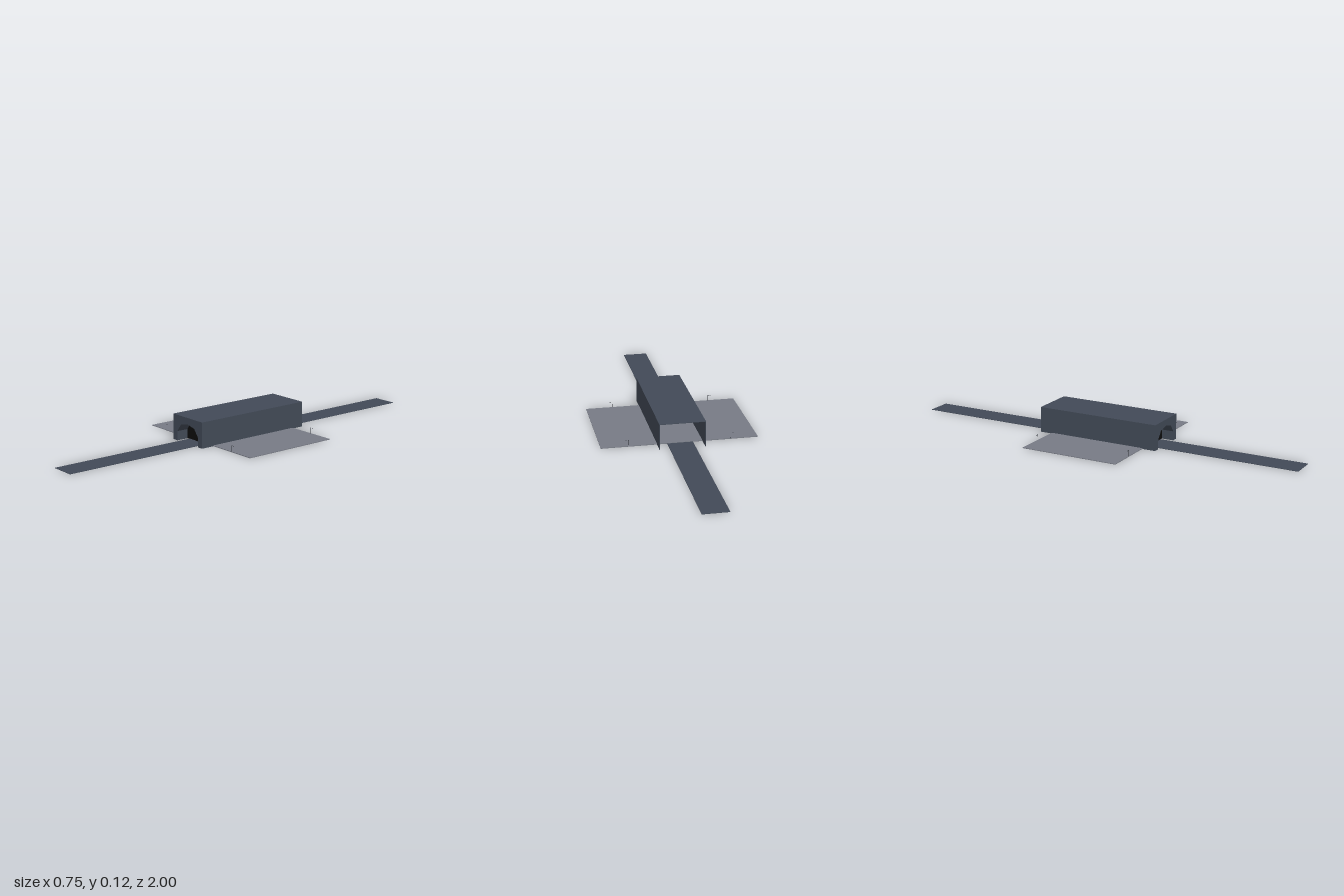
import * as THREE from 'three';

export function createModel() {
  const group = new THREE.Group();
  const material = (name, color, side = THREE.FrontSide) => {
    const m = new THREE.MeshStandardMaterial({ color, side });
    m.name = name;
    return m;
  };
  const slate = material('slate concrete', 0x424a57);
  const paving = material('grey paving', 0x777b85);
  const black = material('tunnel black', 0x0d0d0d, THREE.DoubleSide);
  const metal = material('lamp metal', 0x33363c);

  const add = (parent, name, geometry, mat, x = 0, y = 0, z = 0) => {
    const mesh = new THREE.Mesh(geometry, mat);
    mesh.name = name;
    mesh.position.set(x, y, z);
    parent.add(mesh);
    return mesh;
  };
  const box = (parent, name, mat, w, h, d, x, y, z) =>
    add(parent, name, new THREE.BoxGeometry(w, h, d), mat, x, y, z);

  // Long road running through, with the paved ground lying over it
  box(group, 'road', slate, 0.122, 0.002, 2, 0, 0.001, 0);
  box(group, 'ground', paving, 0.746, 0.003, 0.495, 0, 0.0025, -0.002);

  // Tunnel shell, open at the back
  const tunnel = new THREE.Group();
  tunnel.name = 'tunnel';
  group.add(tunnel);
  const W = 0.109, H = 0.125, L = 0.622;
  box(tunnel, 'tunnelRoof', slate, 2 * W, 0.002, L, 0, H - 0.001, 0);
  for (const s of [-1, 1]) {
    box(tunnel, 'tunnelWall', slate, 0.002, H, L, s * (W - 0.001), H / 2, 0);
  }

  // Front portal with a faceted arch cut out of it
  const arch = [[-0.079, 0], [-0.079, 0.045], [-0.051, 0.082], [0, 0.094],
    [0.051, 0.082], [0.079, 0.045], [0.079, 0]].map(([x, y]) => new THREE.Vector2(x, y));
  const portal = new THREE.Shape([
    new THREE.Vector2(-W, 0), ...arch, new THREE.Vector2(W, 0),
    new THREE.Vector2(W, H), new THREE.Vector2(-W, H)]);
  add(tunnel, 'portal', new THREE.ExtrudeGeometry(portal, { depth: 0.06, bevelEnabled: false }),
    slate, 0, 0, L / 2 - 0.0598);

  // Dark backing inside the arch
  add(tunnel, 'tunnelOpening', new THREE.ShapeGeometry(new THREE.Shape(arch)), black, 0, 0, L / 2 - 0.059);

  // Four street lamps near the corners, arms pointing outwards
  for (const s of [-1, 1]) {
    for (const z of [-0.247, 0.243]) {
      const lamp = new THREE.Group();
      lamp.name = 'streetLamp';
      lamp.position.set(s * 0.241, 0.003, z);
      group.add(lamp);
      add(lamp, 'lampPole', new THREE.CylinderGeometry(0.0006, 0.0008, 0.029, 6), metal, 0, 0.0145, 0);
      box(lamp, 'lampArm', metal, 0.013, 0.001, 0.001, s * 0.006, 0.0288, 0);
      box(lamp, 'lampHead', metal, 0.005, 0.0015, 0.002, s * 0.0125, 0.0283, 0);
    }
  }
  return group;
}
